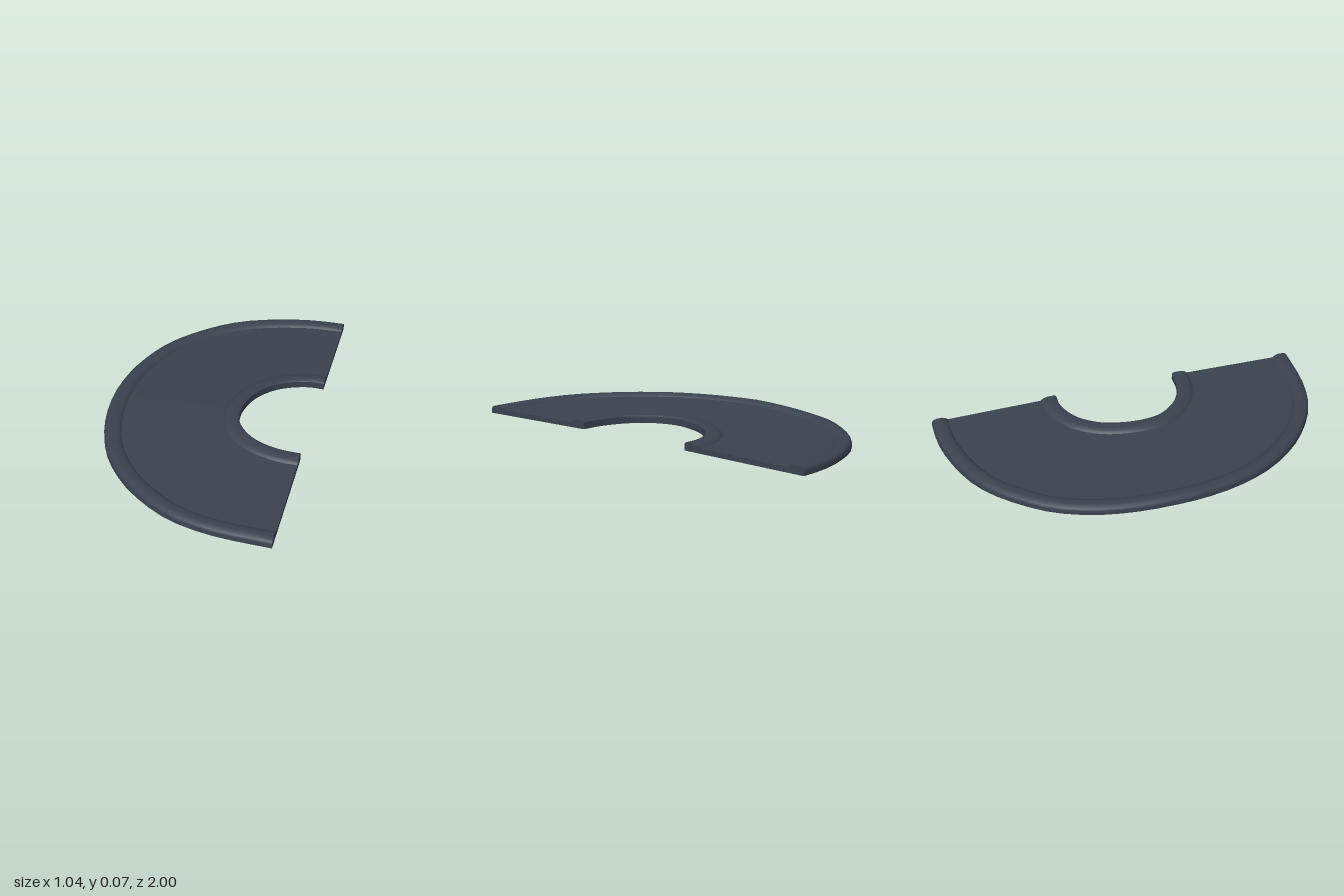
import * as THREE from 'three';
import { toCreasedNormals, mergeGeometries } from 'three/addons/utils/BufferGeometryUtils.js';

const SEGMENTS = 36;
const BASE = 0.032;

// Plan outlines as [x, z], from the back end round to the front end
const OUTER = [[0.49, -1], [0.4, -1], [0.25, -0.985], [0, -0.91], [-0.14, -0.83], [-0.28, -0.7], [-0.4, -0.54],
  [-0.49, -0.3], [-0.525, 0], [-0.495, 0.27], [-0.42, 0.49], [-0.33, 0.635], [-0.2, 0.775], [0, 0.91],
  [0.17, 0.966], [0.3, 0.985], [0.52, 0.995]];
const INNER = [[0.5, -0.33], [0.41, -0.328], [0.28, -0.27], [0.19, -0.165], [0.152, -0.05], [0.145, 0.05],
  [0.17, 0.15], [0.25, 0.245], [0.33, 0.29], [0.42, 0.315], [0.51, 0.32]];

// Curb profiles as [distance in from the rim, height]
const OUTER_CURB = [[0, 0], [0, 0.022], [0.004, 0.031], [0.013, 0.038], [0.028, 0.042], [0.052, 0.042],
  [0.068, 0.038], [0.078, 0.032], [0.085, 0.025]];
const INNER_CURB = [[0.085, 0.025], [0.078, 0.032], [0.068, 0.038], [0.05, 0.042], [0.02, 0.042],
  [0.006, 0.04], [0, 0.034], [0, 0]];

// The front half is level, the back half ramps down
function rampHeight(z) {
  if (z >= 0) return 0;
  if (z > -0.35) return 0.015 * z / 0.35;
  return Math.max(-BASE, -0.015 + (z + 0.35) * (BASE - 0.015) / 0.65);
}

// Evenly spaced rim points, with normals pointing towards the hole
function makeRail(points) {
  const curve = new THREE.CatmullRomCurve3(points.map(([x, z]) => new THREE.Vector3(x, 0, z)));
  return Array.from({ length: SEGMENTS + 1 }, (_, i) => {
    const p = curve.getPointAt(i / SEGMENTS);
    const t = curve.getTangentAt(i / SEGMENTS);
    return { p, n: new THREE.Vector3(t.z, 0, -t.x).normalize() };
  });
}

// Offsets a rail by a profile, giving one row of points per segment
function profileRows(rail, profile, sign) {
  return rail.map(({ p, n }, i) => profile.map(([d, h]) => {
    const v = p.clone().addScaledVector(n, sign * d);
    if (i === 0 || i === SEGMENTS) v.x = 0.505 + 0.015 * v.z;
    v.y = h;
    return v;
  }));
}

// Straight strip of points between two points of a section
function span(a, b, steps) {
  return Array.from({ length: steps + 1 }, (_, k) => a.clone().lerp(b, k / steps));
}

const lifted = (v) => [v.x, v.y + BASE + rampHeight(v.z), v.z];

// Skins a grid of rows
function loft(rows) {
  const cols = rows[0].length;
  const index = [];
  for (let i = 0; i < rows.length - 1; i++) {
    for (let c = 0; c < cols - 1; c++) {
      const a = i * cols + c, b = a + cols;
      index.push(a, b, a + 1, b, b + 1, a + 1);
    }
  }
  const g = new THREE.BufferGeometry();
  g.setAttribute('position', new THREE.Float32BufferAttribute(rows.flat().flatMap(lifted), 3));
  g.setIndex(index);
  return toCreasedNormals(g, 0.7);
}

// Flat cut face closing a section, facing +x
function endCap(ring) {
  const pts = ring.map(lifted);
  const flat = pts.map(([, y, z]) => new THREE.Vector2(-z, y));
  const index = [];
  for (const [a, b, c] of THREE.ShapeUtils.triangulateShape(flat, [])) {
    const area = flat[b].clone().sub(flat[a]).cross(flat[c].clone().sub(flat[a]));
    if (area > 0) index.push(a, b, c);
    else index.push(a, c, b);
  }
  const g = new THREE.BufferGeometry();
  g.setAttribute('position', new THREE.Float32BufferAttribute(pts.flat(), 3));
  g.setIndex(index);
  g.computeVertexNormals();
  return g;
}

export function createModel() {
  const group = new THREE.Group();
  group.name = 'curvedTrack';
  const slate = new THREE.MeshStandardMaterial({ color: 0x3a424f });
  slate.name = 'slate';

  const outer = profileRows(makeRail(OUTER), OUTER_CURB, 1);
  const inner = profileRows(makeRail(INNER), INNER_CURB, -1);
  const road = outer.map((row, i) => span(row.at(-1), inner[i][0], 6));
  const underside = outer.map((row, i) => span(inner[i].at(-1), row[0], 8));

  // Full outline of a section for its cut face
  const ring = (i) => [...outer[i], ...road[i].slice(1, -1), ...inner[i], ...underside[i].slice(1, -1)];

  const parts = {
    outerCurb: loft(outer),
    roadSurface: loft(road),
    innerCurb: loft(inner),
    underside: loft(underside),
    endFaces: mergeGeometries([endCap(ring(0)), endCap(ring(SEGMENTS))]),
  };
  for (const [name, geometry] of Object.entries(parts)) {
    const mesh = new THREE.Mesh(geometry, slate);
    mesh.name = name;
    group.add(mesh);
  }
  return group;
}
